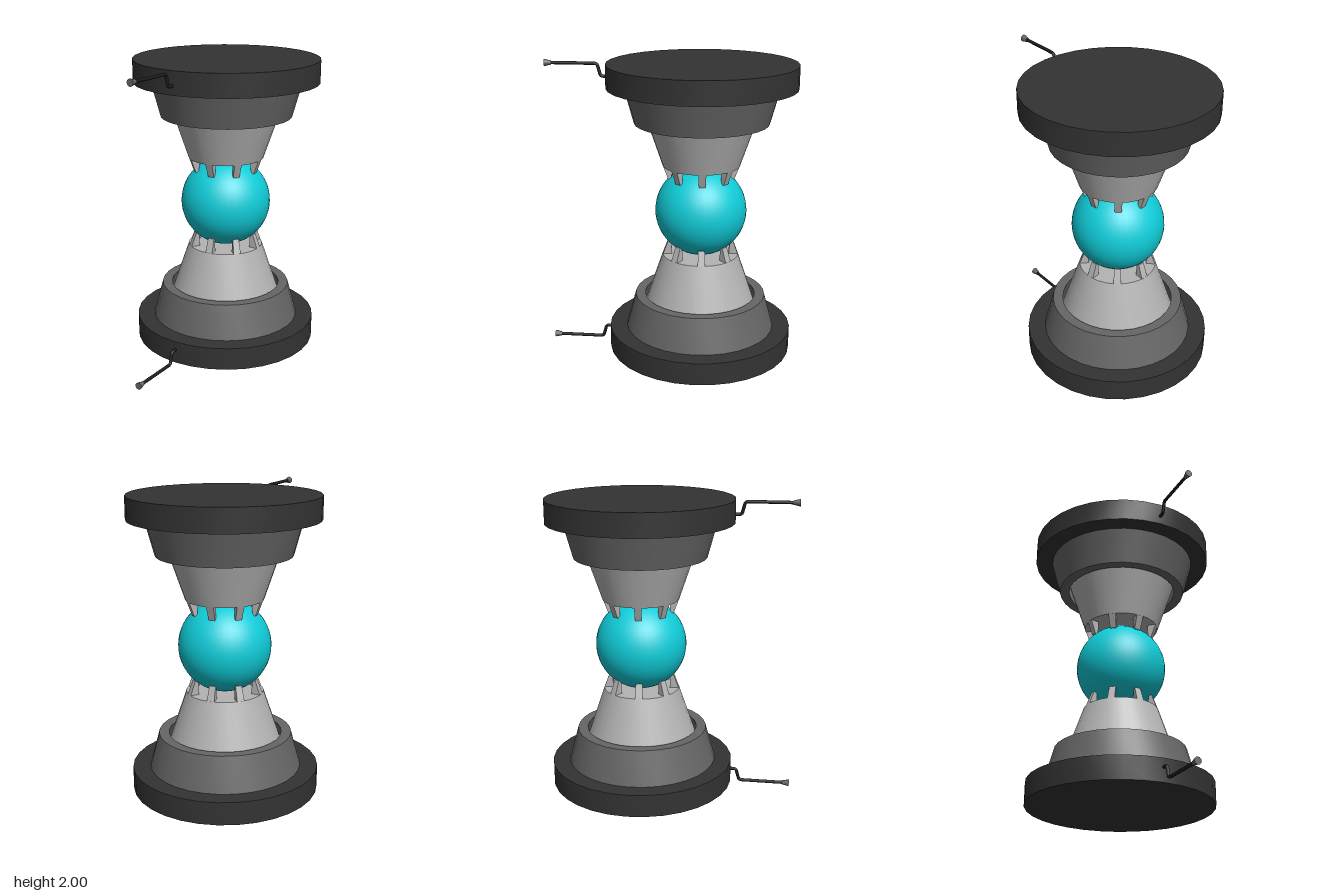
import * as THREE from 'three';
import { toCreasedNormals } from 'three/addons/utils/BufferGeometryUtils.js';
import { ConvexGeometry } from 'three/addons/geometries/ConvexGeometry.js';

const SIDES = 32;
const AXIS_Z = -0.205;
const MID_Y = 1;

const material = (color) => new THREE.MeshStandardMaterial({ color });
const dark = material(0x333333);
const grey = material(0x666666);
const light = material(0xb4b4b4);
const black = material(0x1c1c1c);
const cyan = material(0x10ccd8);

const v3 = (x, y, z) => new THREE.Vector3(x, y, z);

// Turned part from [radius, height] pairs, listed counterclockwise
function turned(profile) {
  const points = profile.map(([r, y]) => new THREE.Vector2(r, y));
  return toCreasedNormals(new THREE.LatheGeometry(points, SIDES), 0.5);
}

// Reflects a geometry about the middle height, keeping faces outward
function mirrored(source) {
  const g = source.index ? source.toNonIndexed() : source.clone();
  for (const name of ['position', 'normal']) {
    const a = g.attributes[name];
    const offset = name === 'position' ? 2 * MID_Y : 0;
    for (let i = 0; i < a.count; i++) a.setY(i, offset - a.getY(i));
    for (let i = 0; i < a.count; i += 3) {
      const p = v3().fromBufferAttribute(a, i + 1);
      const q = v3().fromBufferAttribute(a, i + 2);
      a.setXYZ(i + 1, q.x, q.y, q.z);
      a.setXYZ(i + 2, p.x, p.y, p.z);
    }
  }
  return g;
}

// Wedge-shaped finger spanning one facet of the cone rim
function fingerGeometry(start) {
  const section = [[0.257, 0.686], [0.222, 0.781], [0.2, 0.781], [0.195, 0.686]];
  const points = [];
  for (const angle of [start, start + (Math.PI * 2) / SIDES]) {
    for (const [r, y] of section) points.push(v3(r * Math.sin(angle), y, r * Math.cos(angle)));
  }
  return new ConvexGeometry(points);
}

// All parts of the lower half, as [name, geometry, material]
function halfParts() {
  const parts = [];
  parts.push(['baseDisc', turned([[0, 0.012], [0.625, 0.012], [0.625, 0.166], [0, 0.166]]), dark]);
  // Hollow collar with a gap around the cone
  parts.push(['collar', turned([
    [0.445, 0.166], [0.508, 0.166], [0.445, 0.398], [0.378, 0.398], [0.445, 0.166],
  ]), grey]);
  parts.push(['cone', turned([[0, 0.166], [0.434, 0.166], [0.257, 0.688], [0, 0.688]]), light]);
  for (let i = 0; i < 8; i++) parts.push(['finger', fingerGeometry((i * Math.PI) / 4), light]);

  // Bent cable leaving the front of the disc
  const bend = new THREE.CurvePath();
  const at = (y, z) => v3(0, y, z - AXIS_Z);
  bend.add(new THREE.LineCurve3(at(0.107, 0.38), at(0.107, 0.44)));
  bend.add(new THREE.QuadraticBezierCurve3(at(0.107, 0.44), at(0.107, 0.459), at(0.09, 0.463)));
  bend.add(new THREE.LineCurve3(at(0.09, 0.463), at(0.042, 0.476)));
  bend.add(new THREE.QuadraticBezierCurve3(at(0.042, 0.476), at(0.024, 0.481), at(0.024, 0.5)));
  bend.add(new THREE.LineCurve3(at(0.024, 0.5), at(0.024, 0.8)));
  parts.push(['cable', new THREE.TubeGeometry(bend, 64, 0.011, 10), black]);

  // Flared plug at the cable end
  const plug = new THREE.CylinderGeometry(0.024, 0.014, 0.045, 12);
  plug.rotateX(Math.PI / 2).translate(0, 0.024, 0.8075 - AXIS_Z);
  parts.push(['plug', plug, grey]);
  return parts;
}

export function createModel() {
  const model = new THREE.Group();
  model.name = 'sphereStand';
  const lower = new THREE.Group();
  lower.name = 'lowerHalf';
  const upper = new THREE.Group();
  upper.name = 'upperHalf';

  for (const [name, geometry, mat] of halfParts()) {
    const low = new THREE.Mesh(geometry, mat);
    const high = new THREE.Mesh(mirrored(geometry), mat);
    low.name = high.name = name;
    lower.add(low);
    upper.add(high);
  }

  // Ball held between the two crowns of fingers
  const ball = new THREE.Mesh(new THREE.SphereGeometry(0.307, 40, 28), cyan);
  ball.name = 'ball';
  ball.position.y = MID_Y;

  model.add(lower, upper, ball);
  for (const part of model.children) part.position.z = AXIS_Z;
  return model;
}
